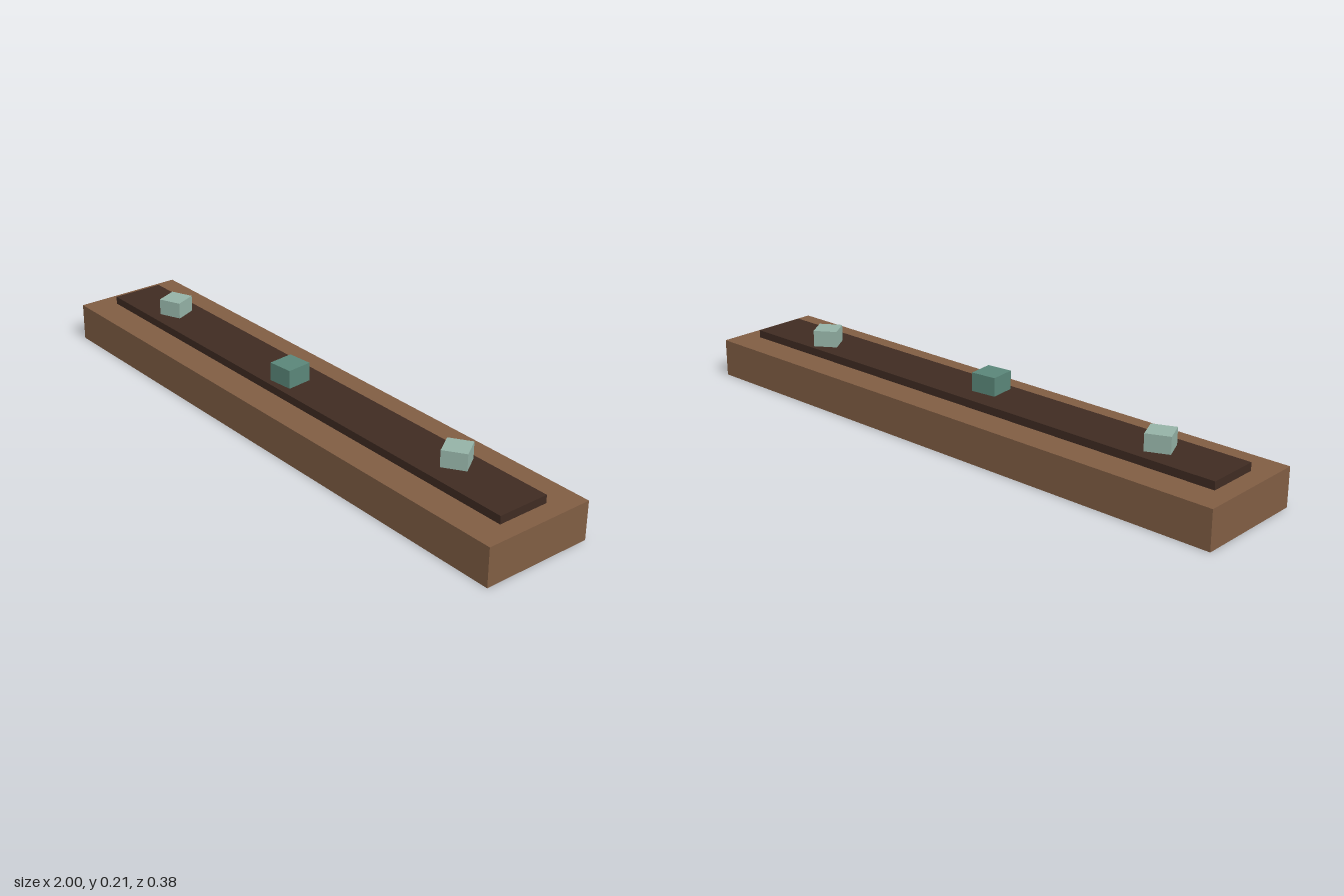
import * as THREE from 'three';

const wood = new THREE.MeshStandardMaterial({ name: 'brown wood', color: 0x805d43, side: THREE.DoubleSide });
const soil = new THREE.MeshStandardMaterial({ name: 'dark soil', color: 0x3f2b22 });
const paleGreen = new THREE.MeshStandardMaterial({ name: 'pale sage green', color: 0x94b2a6 });
const deepGreen = new THREE.MeshStandardMaterial({ name: 'deep sage green', color: 0x5a8679 });

// Box standing on height y
function block(name, material, [w, h, d], [x, y, z], turn = 0) {
  const mesh = new THREE.Mesh(new THREE.BoxGeometry(w, h, d), material);
  mesh.name = name;
  mesh.position.set(x, y + h / 2, z);
  mesh.rotation.y = turn;
  return mesh;
}

export function createModel() {
  const model = new THREE.Group();
  model.name = 'planter';

  // Outer trough: thin shell, open underneath (bottom face dropped)
  const trough = block('trough', wood, [2, 0.125, 0.375], [0, 0, 0]);
  const faces = Array.from(trough.geometry.index.array);
  faces.splice(18, 6);
  trough.geometry.setIndex(faces);
  trough.geometry.clearGroups();
  model.add(trough);

  // Raised soil bed
  model.add(block('soilBed', soil, [1.875, 0.026, 0.175], [0, 0.125, 0]));

  // Small plants, each turned a little
  model.add(
    block('rightPlant', paleGreen, [0.078, 0.054, 0.078], [-0.695, 0.151, 0], 0.4),
    block('middlePlant', deepGreen, [0.085, 0.06, 0.085], [-0.04, 0.151, 0.021], 0.1),
    block('leftPlant', paleGreen, [0.078, 0.054, 0.078], [0.66, 0.151, -0.02], 0.58),
  );
  return model;
}
